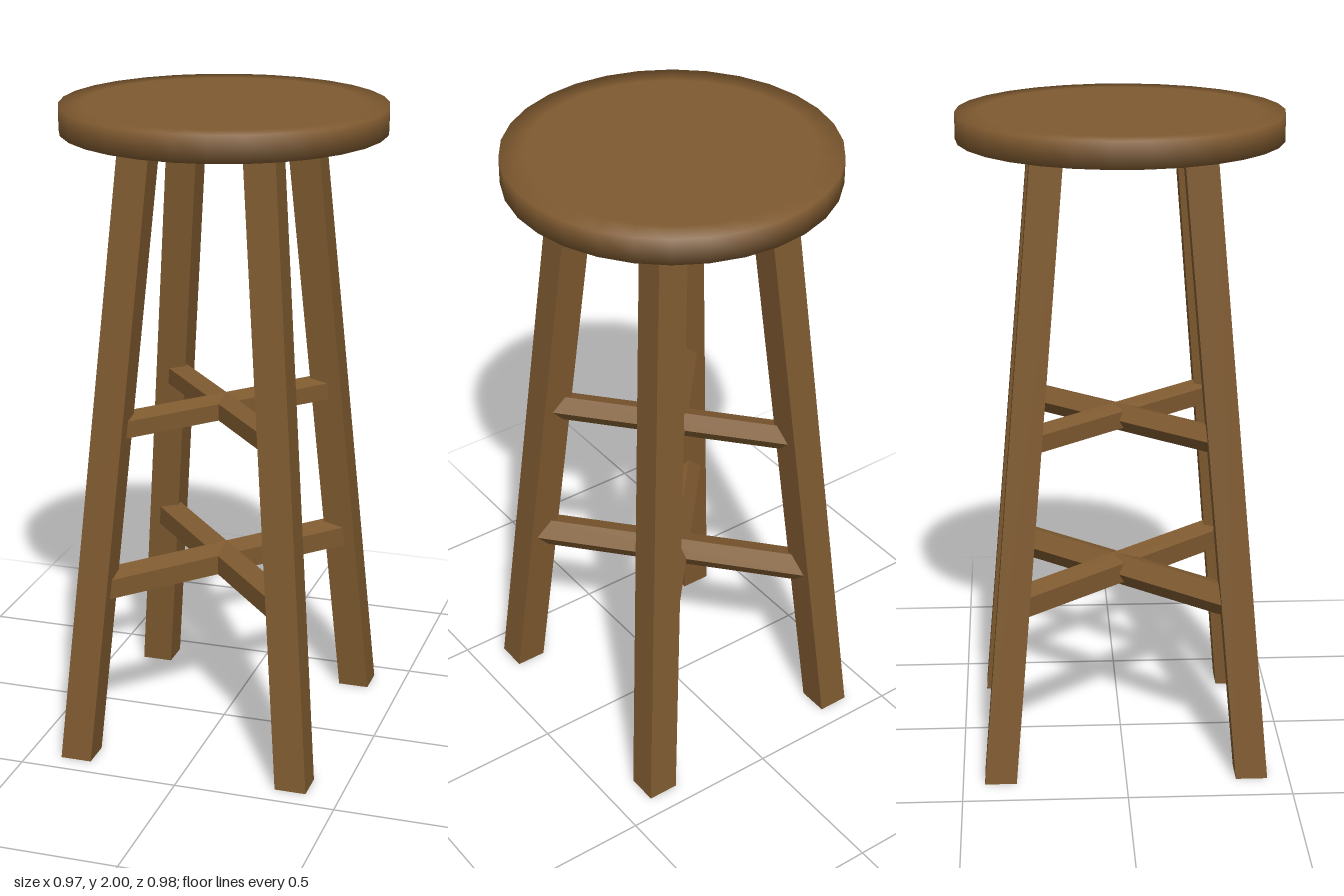
import * as THREE from 'three';

const wood = new THREE.MeshStandardMaterial({ color: 0x7f5a30 });
const woodFlat = new THREE.MeshStandardMaterial({ color: 0x7f5a30, flatShading: true });

const SEAT_BOTTOM = 1.92;
const FOOT = new THREE.Vector2(0.346, 0.385);   // leg centre (x, z) on the floor
const HEAD = new THREE.Vector2(0.188, 0.222);   // leg centre (x, z) under the seat
const LEG_WIDTH = 0.097;

// Leg centre (x, z) at a given height
const legAt = (y) => FOOT.clone().lerp(HEAD, y / SEAT_BOTTOM);

function add(parent, name, geometry, material) {
  const mesh = new THREE.Mesh(geometry, material);
  mesh.name = name;
  parent.add(mesh);
  return mesh;
}

// Square post sheared so that both ends stay level
function legGeometry(sx, sz) {
  const height = SEAT_BOTTOM + 0.01;
  const geometry = new THREE.BoxGeometry(LEG_WIDTH, height, LEG_WIDTH);
  geometry.translate(0, height / 2, 0);
  const pos = geometry.attributes.position;
  for (let i = 0; i < pos.count; i++) {
    const c = legAt(pos.getY(i));
    pos.setX(i, pos.getX(i) + sx * c.x);
    pos.setZ(i, pos.getZ(i) + sz * c.y);
  }
  geometry.computeVertexNormals();
  return geometry;
}

// Five-sided bar joining two opposite legs, with one ridge facing the back
function addStretcher(parent, name, y, radius, side) {
  const c = legAt(y);
  const along = new THREE.Vector3(side * c.x, 0, c.y);
  const length = along.length() * 2;
  along.normalize();
  const up = new THREE.Vector3(0, 1, 0);
  const ridge = new THREE.Vector3(along.z, 0, -along.x * 1);
  if (ridge.z > 0) ridge.negate();
  // The cylinder's first corner lies on its local z axis
  const geometry = new THREE.CylinderGeometry(radius, radius, length, 5);
  const across = new THREE.Vector3().crossVectors(along, ridge);
  const bar = add(parent, name, geometry, woodFlat);
  bar.quaternion.setFromRotationMatrix(new THREE.Matrix4().makeBasis(across, along, ridge));
  bar.position.copy(up).multiplyScalar(y);
}

export function createModel() {
  const stool = new THREE.Group();
  stool.name = 'stool';

  // Round seat with softly shaded rim
  const profile = [[0, 1.92], [0.42, 1.92], [0.49, 1.92], [0.49, 2], [0.42, 2], [0, 2]];
  add(stool, 'seat', new THREE.LatheGeometry(profile.map(([r, y]) => new THREE.Vector2(r, y)), 30), wood);

  // Four splayed legs
  for (const [sx, left] of [[1, 'Left'], [-1, 'Right']]) {
    for (const [sz, front] of [[1, 'front'], [-1, 'back']]) {
      add(stool, `${front}${left}Leg`, legGeometry(sx, sz), woodFlat);
    }
  }

  // Two tiers of crossed stretchers
  for (const [tier, y, radius] of [['lower', 0.55, 0.0525], ['upper', 1.053, 0.045]]) {
    addStretcher(stool, `${tier}StretcherA`, y, radius, 1);
    addStretcher(stool, `${tier}StretcherB`, y, radius, -1);
  }
  return stool;
}
